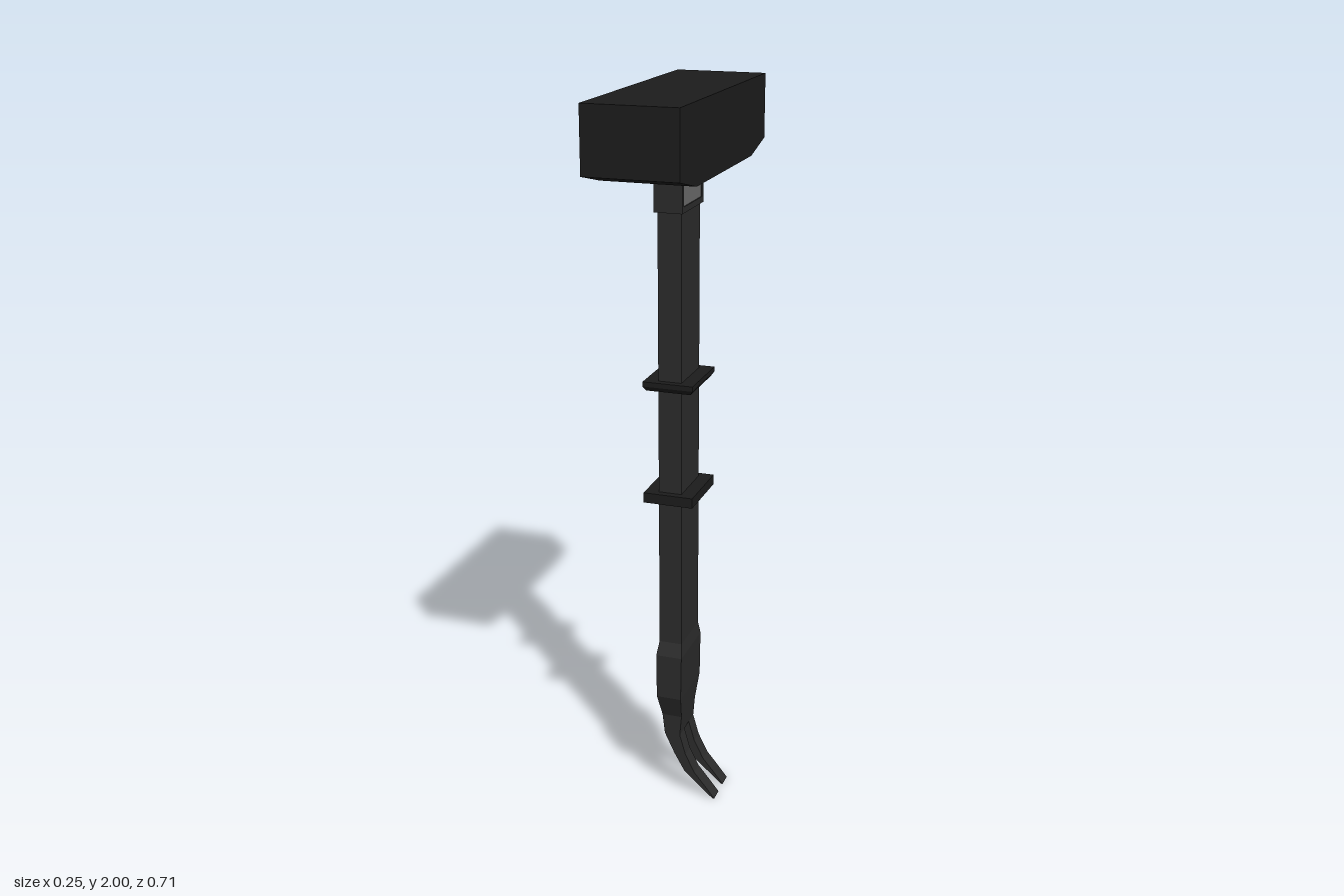
import * as THREE from 'three';

const material = (color) => new THREE.MeshStandardMaterial({ color, flatShading: true });

// Solid through rectangular sections [y, x0, x1, z0, z1], listed from top to bottom
function loft(sections) {
  const pos = [], idx = [];
  for (const [y, x0, x1, z0, z1] of sections) {
    pos.push(x0, y, z0, x1, y, z0, x1, y, z1, x0, y, z1);
  }
  for (let s = 0; s < sections.length - 1; s++) {
    for (let j = 0; j < 4; j++) {
      const a = s * 4 + j, b = s * 4 + (j + 1) % 4;
      idx.push(a, b, a + 4, b, b + 4, a + 4);
    }
  }
  const n = (sections.length - 1) * 4;
  idx.push(0, 2, 1, 0, 3, 2, n, n + 1, n + 2, n, n + 2, n + 3);
  const g = new THREE.BufferGeometry();
  g.setAttribute('position', new THREE.Float32BufferAttribute(pos, 3));
  g.setIndex(idx);
  const flat = g.toNonIndexed();
  flat.computeVertexNormals();
  return flat;
}

// Same, for sections symmetric in z: [y, x0, x1, halfDepth]
const loftZ = (sections) => loft(sections.map(([y, x0, x1, z]) => [y, x0, x1, -z, z]));

export function createModel() {
  const group = new THREE.Group();
  const black = material(0x1c1c1c);
  const dark = material(0x2b2b2b);
  const grey = material(0x6b6b6b);
  const add = (name, geometry, mat) => {
    const mesh = new THREE.Mesh(geometry, mat);
    mesh.name = name;
    group.add(mesh);
    return mesh;
  };
  const cx = -0.003;

  // Hammer head, ends chamfered underneath
  add('head', loftZ([
    [2, -0.127, 0.12, 0.353],
    [1.83, -0.127, 0.12, 0.353],
    [1.8, -0.127, 0.12, 0.23],
  ]), black);

  // Shaft flaring out and then narrowing towards the claw
  add('shaft', loftZ([
    [1.81, -0.035, 0.029, 0.074],
    [0.49, -0.035, 0.029, 0.074],
    [0.45, -0.041, 0.033, 0.086],
    [0.32, -0.04, 0.031, 0.086],
    [0.25, -0.032, 0.025, 0.061],
    [0.19, -0.025, 0.02, 0.061],
  ]), dark);

  // Collar under the head, with a framed inset panel on both broad sides
  add('collar', loftZ([[1.81, -0.036, 0.03, 0.085], [1.7, -0.036, 0.03, 0.085]]), dark);
  const frame = new THREE.Shape();
  frame.moveTo(-0.085, 1.7).lineTo(0.085, 1.7).lineTo(0.085, 1.805).lineTo(-0.085, 1.805).closePath();
  const hole = new THREE.Path();
  hole.moveTo(-0.074, 1.716).lineTo(-0.074, 1.785).lineTo(0.074, 1.785).lineTo(0.074, 1.716).closePath();
  frame.holes.push(hole);
  const frameGeometry = new THREE.ExtrudeGeometry(frame, { depth: 0.006, bevelEnabled: false });
  for (const side of [1, -1]) {
    const rim = add('collarFrame', frameGeometry, dark);
    rim.rotation.y = side * Math.PI / 2;
    rim.position.x = cx + side * 0.032;
    const panel = add('collarPanel', new THREE.BoxGeometry(0.006, 0.069, 0.148), grey);
    panel.position.set(cx + side * 0.032, 1.7505, 0);
  }

  // Guard rings, the upper one tapered below
  add('upperRing', loftZ([
    [1.253, -0.072, 0.066, 0.094],
    [1.24, -0.072, 0.066, 0.094],
    [1.228, -0.064, 0.058, 0.087],
  ]), black);
  add('lowerRing', loftZ([[0.94, -0.072, 0.066, 0.094], [0.912, -0.072, 0.066, 0.094]]), black);

  // Two curved claw prongs, either side of the slot
  for (const side of [1, -1]) {
    const zs = side > 0 ? [0.02, 0.061] : [-0.061, -0.02];
    add('clawProng', loft([
      [0.19, -0.025, 0.02, ...zs],
      [0.13, 0.003, 0.037, ...zs],
      [0.075, 0.034, 0.064, ...zs],
      [0.04, 0.074, 0.093, ...zs],
      [0, 0.119, 0.125, ...zs],
    ]), dark);
  }

  return group;
}
